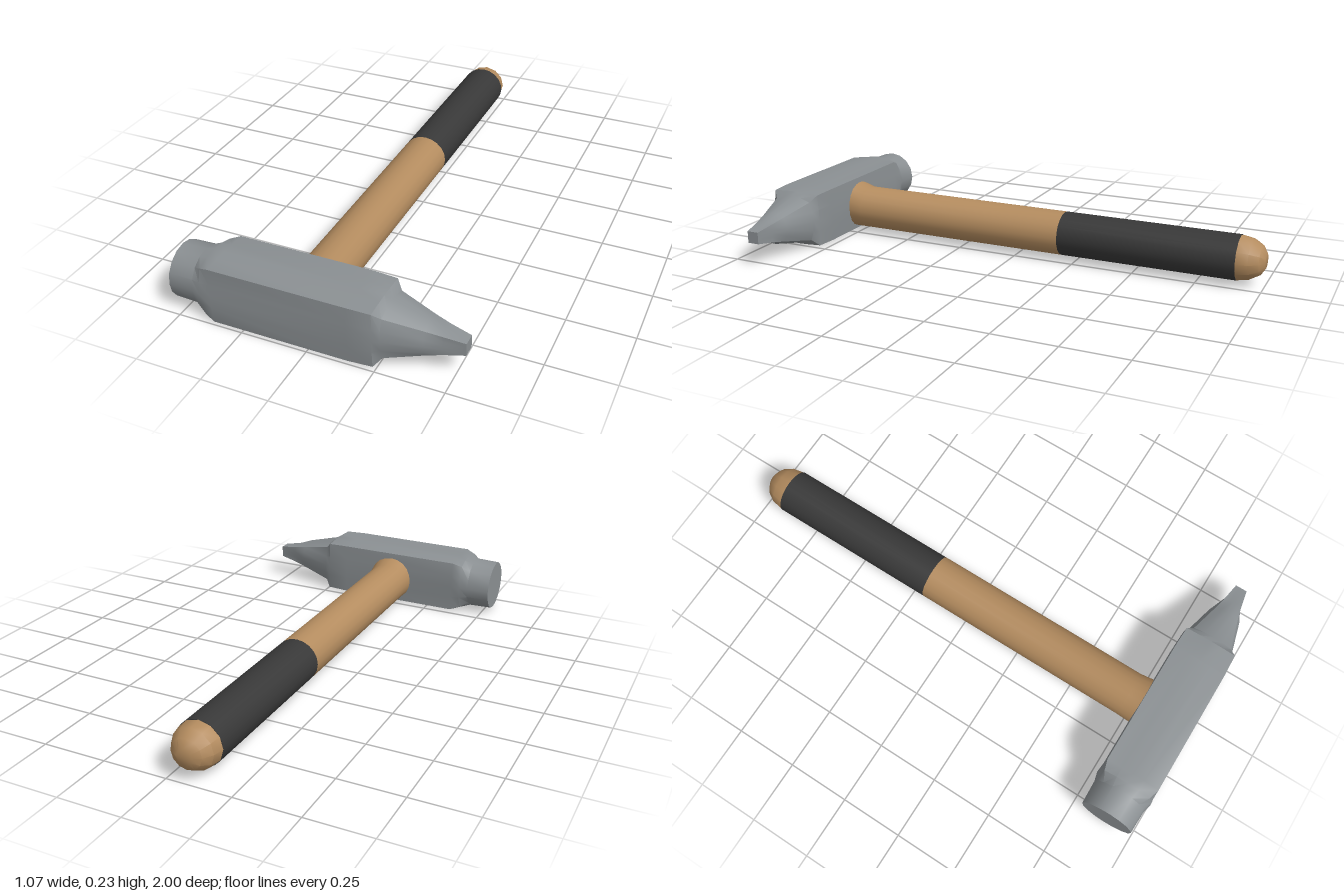
import * as THREE from 'three';
import { toCreasedNormals } from 'three/addons/utils/BufferGeometryUtils.js';

// Closed loft along +z. Each section: [z, halfWidth, halfHeight, squareness 0..1, yShift]
function loft(sections, sides, crease) {
  const pos = [], index = [];
  for (const [z, w, h, k = 0, dy = 0] of sections) {
    for (let i = 0; i < sides; i++) {
      const a = (i / sides) * Math.PI * 2;
      const c = Math.cos(a), s = Math.sin(a);
      const r = 1 + k * (1 / Math.max(Math.abs(c), Math.abs(s)) - 1);
      pos.push(w * r * c, h * r * s + dy, z);
    }
  }
  const n = sections.length;
  for (let j = 0; j < n - 1; j++) {
    for (let i = 0; i < sides; i++) {
      const a = j * sides + i, b = j * sides + (i + 1) % sides;
      index.push(a, b, b + sides, a, b + sides, a + sides);
    }
  }
  // flat end caps
  const last = (n - 1) * sides;
  for (let i = 1; i < sides - 1; i++) {
    index.push(0, i + 1, i, last, last + i, last + i + 1);
  }
  const geo = new THREE.BufferGeometry();
  geo.setAttribute('position', new THREE.Float32BufferAttribute(pos, 3));
  geo.setIndex(index);
  return toCreasedNormals(geo, crease);
}

export function createModel() {
  const steel = new THREE.MeshStandardMaterial({ color: 0x8b9093 });
  steel.name = 'steel';
  const wood = new THREE.MeshStandardMaterial({ color: 0xb48c5f });
  wood.name = 'wood';
  const rubber = new THREE.MeshStandardMaterial({ color: 0x383838 });
  rubber.name = 'rubber';

  const model = new THREE.Group();
  model.name = 'hammer';
  const add = (name, geometry, material, parent) => {
    const mesh = new THREE.Mesh(geometry, material);
    mesh.name = name;
    parent.add(mesh);
  };

  // Head: round striking face, square body, tapered square peen
  const head = new THREE.Group();
  head.name = 'head';
  head.position.set(0, 0.119, 0.884);
  head.rotation.y = Math.PI / 2;
  add('headBody', loft([
    [-0.535, 0.104, 0.104, 0],
    [-0.44, 0.107, 0.107, 0],
    [-0.405, 0.116, 0.117, 0.4],
    [-0.365, 0.112, 0.115, 0.87],
    [0.15, 0.112, 0.115, 0.87],
    [0.24, 0.109, 0.113, 0.85],
    [0.265, 0.1, 0.1, 0.35],
    [0.4, 0.065, 0.067, 0.12],
    [0.46, 0.036, 0.037, 1],
    [0.535, 0.024, 0.024, 1],
  ], 16, 0.55), steel, head);
  model.add(head);

  // Handle: flared wooden shaft, rubber grip, wooden rounded end
  const handle = new THREE.Group();
  handle.name = 'handle';
  handle.position.set(-0.073, 0.103, 0);
  add('shaft', loft([
    [-0.19, 0.091, 0.088],
    [0.72, 0.091, 0.088],
    [0.8, 0.097, 0.1, 0.1, 0.012],
  ], 20, 0.6), wood, handle);
  add('grip', loft([
    [-0.9, 0.091, 0.088],
    [-0.19, 0.091, 0.088],
  ], 20, 0.6), rubber, handle);
  add('handleEnd', loft([
    [-1, 0.03, 0.03],
    [-0.982, 0.06, 0.058],
    [-0.945, 0.083, 0.08],
    [-0.9, 0.091, 0.088],
  ], 12, 0.6), wood, handle);
  model.add(handle);

  return model;
}
